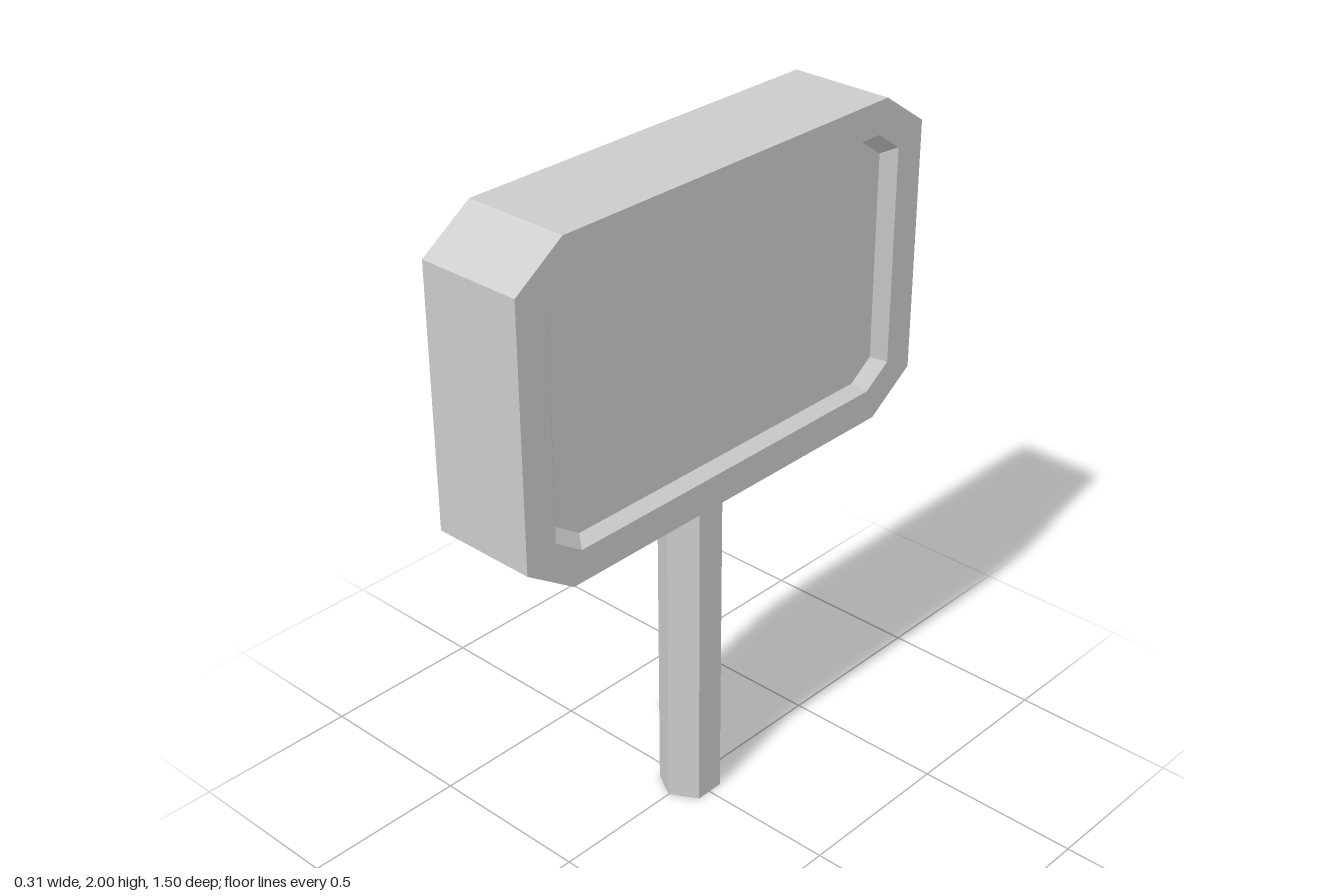
import * as THREE from 'three';

// Chamfered rectangle in the zy plane at a given x, counter-clockwise seen from +x
function octagon(x, halfZ, bottom, top, cutZ, cutY) {
  const z = halfZ - cutZ;
  return [
    [z, top], [halfZ, top - cutY], [halfZ, bottom + cutY], [z, bottom],
    [-z, bottom], [-halfZ, bottom + cutY], [-halfZ, top - cutY], [-z, top],
  ].map(([pz, py]) => new THREE.Vector3(x, py, pz));
}

// Joins successive rings with quads and closes both ends
function loft(rings) {
  const points = [];
  const n = rings[0].length;
  for (let r = 0; r < rings.length - 1; r++) {
    const a = rings[r], b = rings[r + 1];
    for (let i = 0; i < n; i++) {
      const j = (i + 1) % n;
      points.push(a[i], a[j], b[j], a[i], b[j], b[i]);
    }
  }
  const first = rings[0], last = rings[rings.length - 1];
  for (let i = 1; i < n - 1; i++) {
    points.push(first[0], first[i + 1], first[i]);
    points.push(last[0], last[i], last[i + 1]);
  }
  const geometry = new THREE.BufferGeometry().setFromPoints(points);
  geometry.computeVertexNormals();
  return geometry;
}

export function createModel() {
  const group = new THREE.Group();
  const material = new THREE.MeshStandardMaterial({ color: 0xcccccc, flatShading: true });

  // Sign board: solid slab with a raised rim and a bevelled recess on the +x face
  const half = 0.157;
  const board = new THREE.Mesh(loft([
    octagon(-half, 0.75, 1.045, 2, 0.155, 0.105),
    octagon(half, 0.75, 1.045, 2, 0.155, 0.105),
    octagon(half, 0.652, 1.14, 1.905, 0.088, 0.06),
    octagon(half - 0.036, 0.617, 1.162, 1.883, 0.079, 0.055),
  ]), material);
  board.name = 'signBoard';
  group.add(board);

  // Hexagonal post with a corner facing the front
  const height = 1.045;
  const post = new THREE.Mesh(new THREE.CylinderGeometry(0.091, 0.091, height, 6), material);
  post.name = 'post';
  post.position.y = height / 2;
  group.add(post);

  return group;
}
